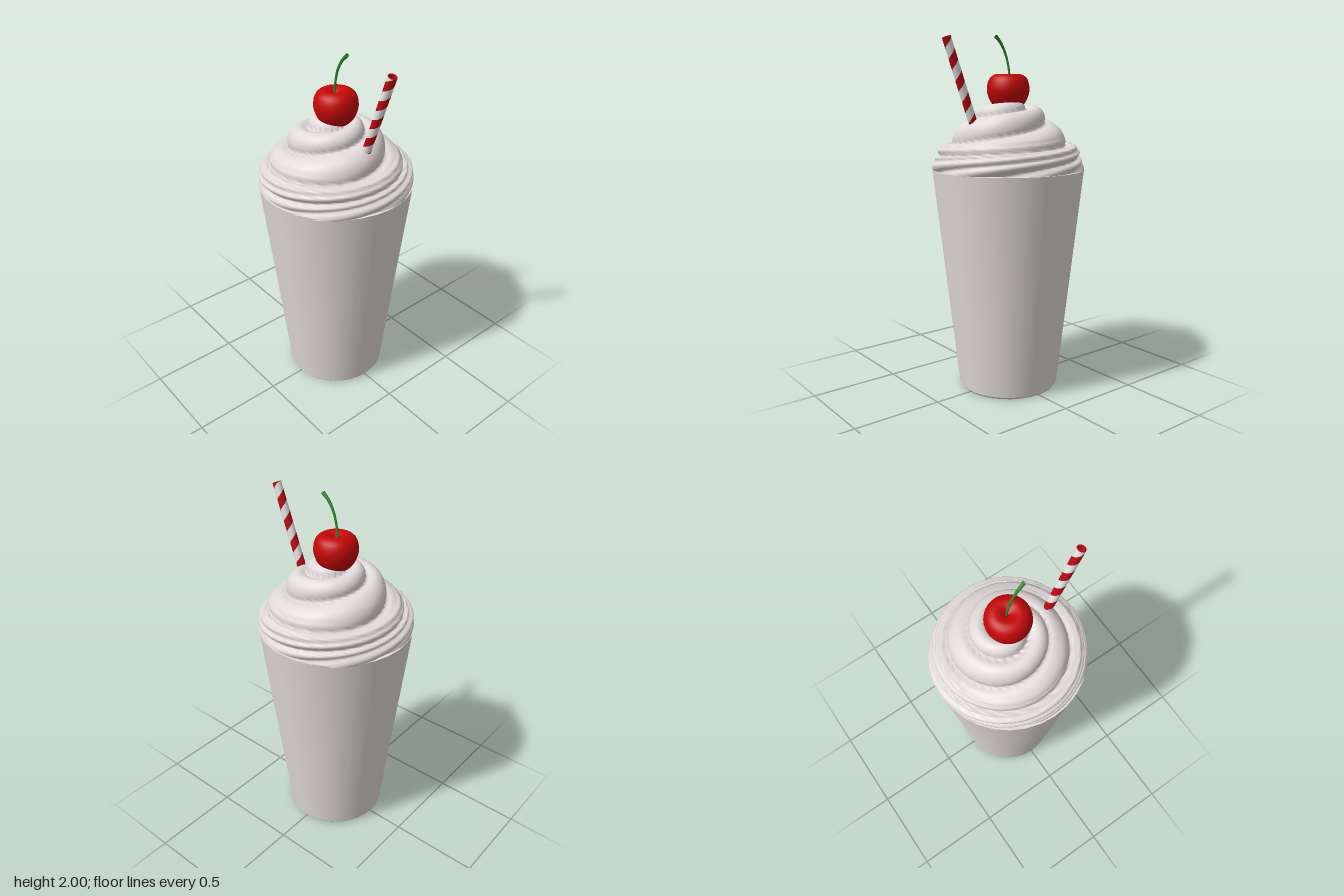
import * as THREE from 'three';
import { mergeVertices } from 'three/addons/utils/BufferGeometryUtils.js';

const mat = (name, color, side = THREE.FrontSide) => {
  const m = new THREE.MeshStandardMaterial({ color, side });
  m.name = name;
  return m;
};
const v2 = (p) => new THREE.Vector2(p[0], p[1]);
const smoothProfile = (pts, n) => new THREE.SplineCurve(pts.map(v2)).getPoints(n);

// Smooth dome pushed in and out along two spiral arms, with finer ridges low down
function creamGeometry() {
  const profile = smoothProfile([[0.41, 1.255], [0.412, 1.31], [0.385, 1.37], [0.32, 1.425],
    [0.265, 1.49], [0.2, 1.565], [0.11, 1.615], [0, 1.635]], 64);
  profile[64].x = 0;
  const g = new THREE.LatheGeometry(profile, 112);
  const p = g.attributes.position, n = g.attributes.normal;
  for (let i = 0; i < p.count; i++) {
    const x = p.getX(i), y = p.getY(i), z = p.getZ(i);
    const r = Math.hypot(x, z);
    const low = THREE.MathUtils.smoothstep(1.46 - y, 0, 0.12);
    const q = r + 0.6 * Math.max(0, 1.42 - y);
    const a = Math.atan2(x, z) + Math.PI / 2 - 27 * (0.31 - q);
    const arm = Math.abs(Math.sin(a));
    const fine = Math.abs(Math.sin(3 * a + 0.6));
    const fade = Math.min(1, r / 0.1);
    const d = fade * ((0.065 - 0.035 * low) * (Math.sqrt(arm) - 0.7) + 0.022 * low * (fine - 0.6));
    let nx = x + n.getX(i) * d, nz = z + n.getZ(i) * d;
    const k = Math.min(1, 0.43 / Math.max(Math.hypot(nx, nz), 1e-6));
    p.setXYZ(i, nx * k, y + n.getY(i) * d, nz * k);
  }
  g.deleteAttribute('uv');
  g.deleteAttribute('normal');
  const merged = mergeVertices(g, 1e-5);
  merged.computeVertexNormals();
  return merged;
}

// Tube wall wound from helical strips of alternating colour, trimmed at both ends
function stripedTube(radius, length, pitch, sides = 20) {
  const pos = [], white = [], red = [];
  const half = pitch / 2, bands = Math.ceil(length / half) + 2;
  for (let b = -2; b < bands; b++) {
    const out = b % 2 ? red : white;
    for (let s = 0; s < sides; s++) {
      const corner = (j, k) => {
        const t = ((s + j) / sides) * Math.PI * 2;
        const y = THREE.MathUtils.clamp((b + k) * half + ((s + j) / sides) * pitch, 0, length);
        pos.push(radius * Math.sin(t), y, radius * Math.cos(t));
        return pos.length / 3 - 1;
      };
      const c = [corner(0, 0), corner(1, 0), corner(1, 1), corner(0, 1)];
      out.push(c[0], c[1], c[2], c[0], c[2], c[3]);
    }
  }
  const g = new THREE.BufferGeometry();
  g.setAttribute('position', new THREE.Float32BufferAttribute(pos, 3));
  const nor = pos.map((v, i) => (i % 3 === 1 ? 0 : v / radius));
  g.setAttribute('normal', new THREE.Float32BufferAttribute(nor, 3));
  g.setIndex([...white, ...red]);
  g.addGroup(0, white.length, 0);
  g.addGroup(white.length, red.length, 1);
  return g;
}

// Thin curved tube whose rings grow toward the tip
function stemGeometry() {
  const curve = new THREE.CatmullRomCurve3([[-0.008, 1.74, 0], [-0.006, 1.81, 0.001],
    [0.018, 1.9, 0.003], [0.05, 1.955, 0.002], [0.086, 1.99, 0]].map((c) => new THREE.Vector3(...c)));
  const rows = 20, sides = 8;
  const g = new THREE.TubeGeometry(curve, rows, 0.006, sides);
  const p = g.attributes.position, v = new THREE.Vector3();
  for (let i = 0; i < p.count; i++) {
    const t = Math.floor(i / (sides + 1)) / rows;
    const c = curve.getPointAt(t);
    v.fromBufferAttribute(p, i).sub(c).multiplyScalar(1 + 0.8 * t ** 4).add(c);
    p.setXYZ(i, v.x, v.y, v.z);
  }
  return g;
}

export function createModel() {
  const cream = mat('cream white', 0xe2dada);
  const strawWhite = mat('straw white', 0xe8e4e4);
  const red = mat('cherry red', 0xc40808);
  const stripeRed = mat('straw red', 0xb80a14, THREE.DoubleSide);
  const green = mat('stem green', 0x2f8a2c, THREE.DoubleSide);

  const model = new THREE.Group();
  model.name = 'milkshake';
  const add = (name, geometry, material, parent = model) => {
    const m = new THREE.Mesh(geometry, material);
    m.name = name;
    parent.add(m);
    return m;
  };

  // Tapered cup with a small rounded foot
  add('cup', new THREE.CylinderGeometry(0.427, 0.286, 1.25, 32), cream).position.y = 0.637;
  add('cupFoot', new THREE.CylinderGeometry(0.286, 0.276, 0.012, 32), cream).position.y = 0.006;

  add('whippedCream', creamGeometry(), cream);

  // Cherry with a dimple on top, and its stem
  const cherry = smoothProfile([[0, 1.585], [0.05, 1.595], [0.092, 1.63], [0.115, 1.68],
    [0.118, 1.725], [0.103, 1.768], [0.07, 1.789], [0.035, 1.784], [0, 1.762]], 24);
  cherry[24].x = 0;
  add('cherry', new THREE.LatheGeometry(cherry, 32), red);
  add('cherryStem', stemGeometry(), green);

  // Leaning hollow straw
  const straw = new THREE.Group();
  straw.name = 'straw';
  const from = new THREE.Vector3(0.195, 1.4, 0), to = new THREE.Vector3(0.406, 1.972, 0);
  const length = from.distanceTo(to);
  straw.position.copy(from);
  straw.quaternion.setFromUnitVectors(new THREE.Vector3(0, 1, 0), to.clone().sub(from).normalize());
  model.add(straw);
  add('strawWall', stripedTube(0.024, length, 0.118), [strawWhite, stripeRed], straw);
  add('strawInside', new THREE.CylinderGeometry(0.018, 0.018, length, 20, 1, true), stripeRed, straw)
    .position.y = length / 2;
  const lip = add('strawLip', new THREE.RingGeometry(0.018, 0.024, 20), stripeRed, straw);
  lip.rotation.x = -Math.PI / 2;
  lip.position.y = length;

  return model;
}
